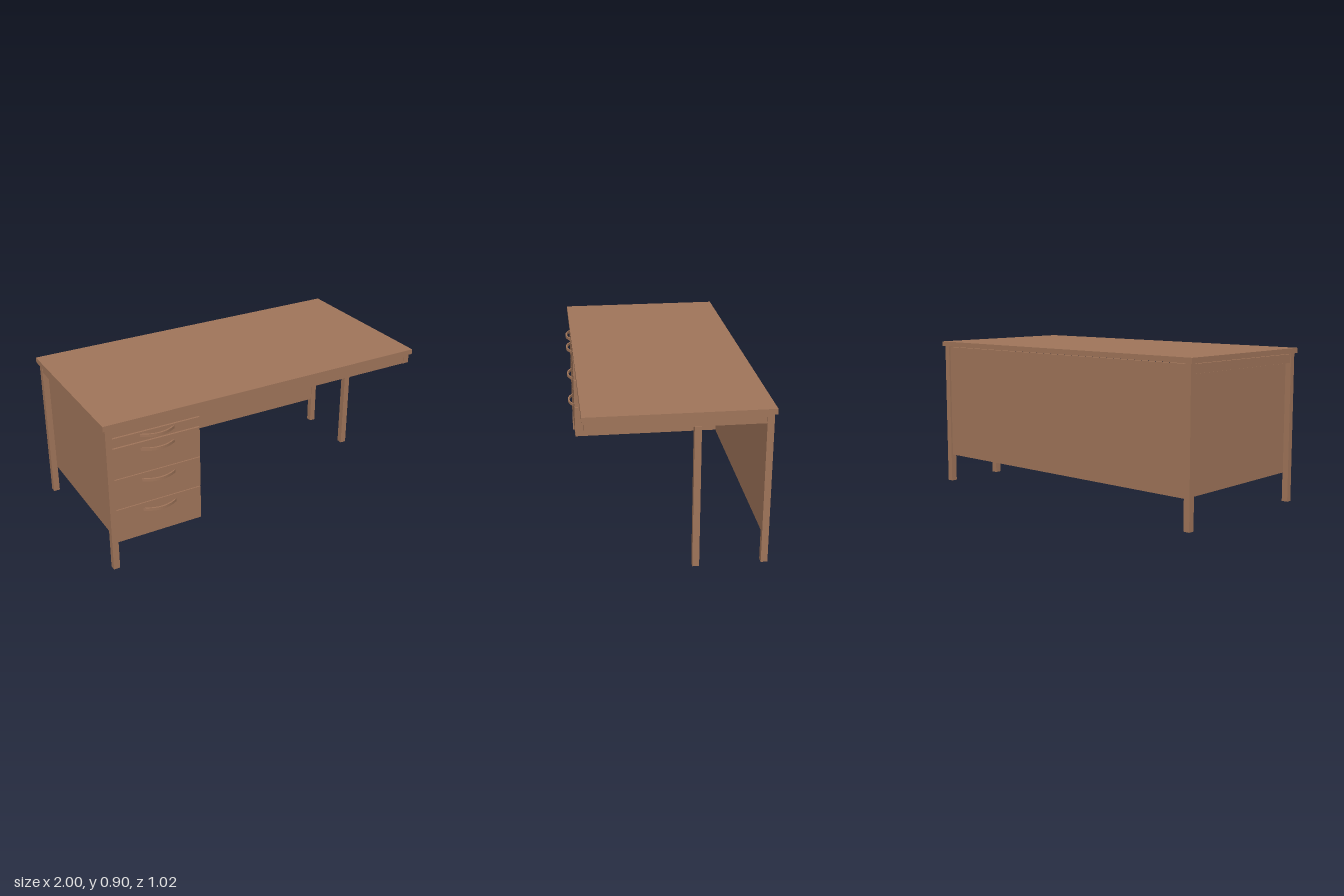
import * as THREE from 'three';

export function createModel() {
  const desk = new THREE.Group();
  desk.name = 'desk';
  const wood = new THREE.MeshStandardMaterial({ color: 0xa0755a });
  wood.name = 'brown wood';

  const add = (name, geometry) => {
    const mesh = new THREE.Mesh(geometry, wood);
    mesh.name = name;
    desk.add(mesh);
    return mesh;
  };
  // Box given by its limits on each axis
  const box = (name, [x0, x1], [y0, y1], [z0, z1]) => {
    add(name, new THREE.BoxGeometry(x1 - x0, y1 - y0, z1 - z0))
      .position.set((x0 + x1) / 2, (y0 + y1) / 2, (z0 + z1) / 2);
  };

  const left = [0.948, 0.985], right = [-0.985, -0.948];
  const front = [0.44, 0.475], back = [-0.498, -0.461];
  const railY = [0.815, 0.865];

  box('tableTop', [-1, 1], [0.87, 0.9], [-0.51, 0.485]);

  // Legs: the front left one is set back under the side rail
  box('backLeftLeg', left, [0, 0.87], back);
  box('backRightLeg', right, [0, 0.87], back);
  box('frontRightLeg', right, [0, 0.87], front);
  box('setBackLeg', left, [0, 0.815], [-0.123, -0.086]);
  box('cornerBlock', left, [0.815, 0.87], front);

  // Rails below the top, leaving a narrow shadow gap
  box('frontRail', [-0.948, 0.948], railY, [0.445, 0.472]);
  box('leftRail', [0.953, 0.98], railY, [-0.461, 0.44]);
  box('rightRail', [-0.98, -0.953], railY, [-0.461, 0.44]);

  box('backPanel', [-0.948, 0.948], [0.17, 0.865], [-0.487, -0.465]);

  // Drawer pedestal
  box('pedestal', [-0.95, -0.438], [0.17, 0.81], [-0.465, 0.45]);

  // Bowed handle: a thin crescent in plan, extruded upwards
  const curve = (z, peak) => new THREE.QuadraticBezierCurve(
    new THREE.Vector2(-0.1, z), new THREE.Vector2(0, 2 * peak - z), new THREE.Vector2(0.1, z)).getPoints(16);
  const outline = [...curve(0, 0.035), ...curve(-0.008, 0.025).reverse()];
  const handle = new THREE.ExtrudeGeometry(new THREE.Shape(outline), { depth: 0.017, bevelEnabled: false });
  handle.rotateX(Math.PI / 2);

  // Drawer fronts [bottom, top, top of handle]
  const drawers = [
    [0.756, 0.81, 0.798],
    [0.566, 0.749, 0.715],
    [0.378, 0.561, 0.527],
    [0.17, 0.373, 0.34],
  ];
  for (const [y0, y1, handleY] of drawers) {
    box('drawerFront', [-0.95, -0.438], [y0, y1], [0.45, 0.475]);
    add('drawerHandle', handle).position.set(-0.69, handleY, 0.475);
  }
  return desk;
}
